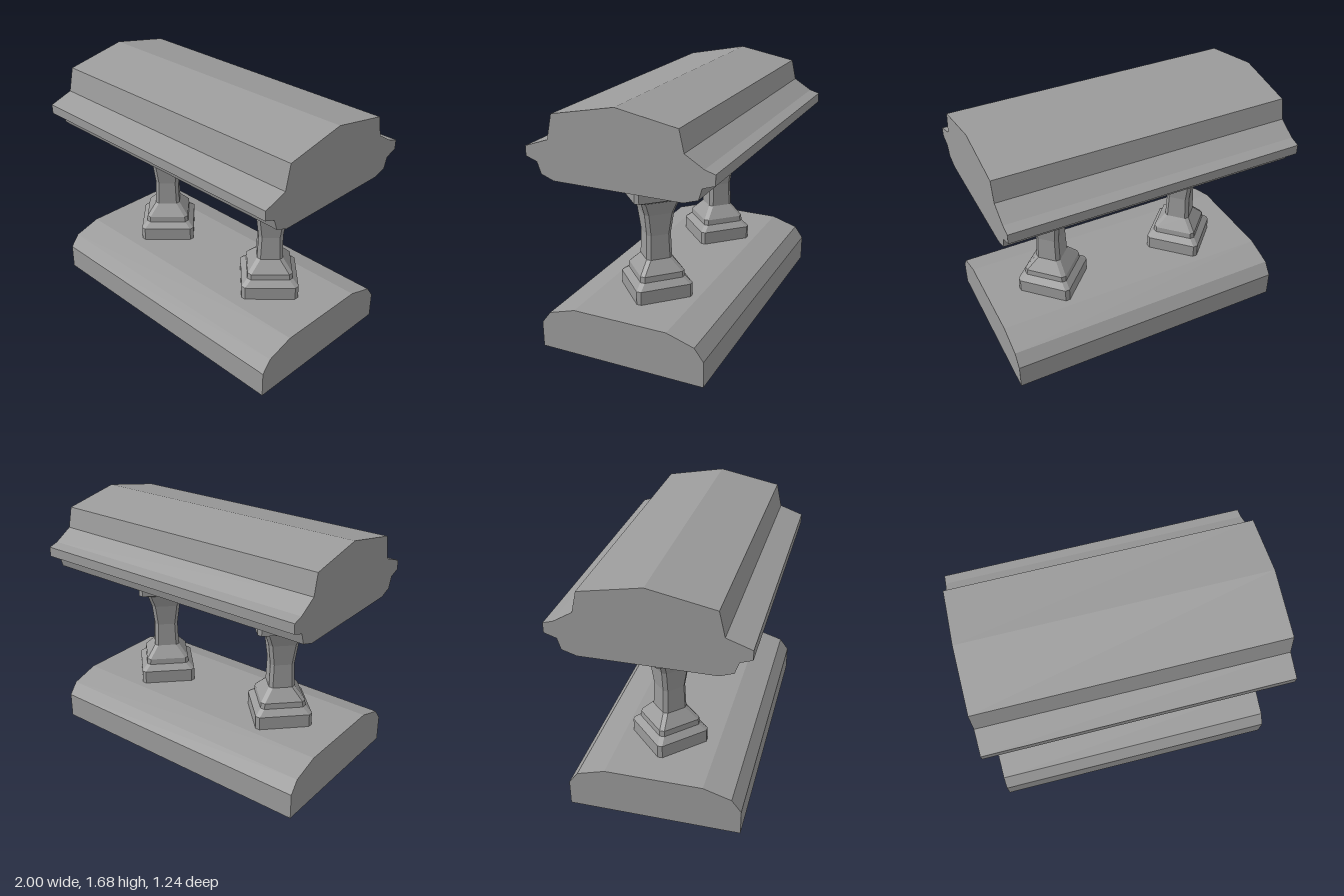
import * as THREE from 'three';

const material = new THREE.MeshStandardMaterial({ color: 0x9b9b9b, flatShading: true });

// Sweeps a [z, y] profile along x from x0 to x1
function beam(name, profile, x0, x1) {
  const shape = new THREE.Shape(profile.map(([z, y]) => new THREE.Vector2(-z, y)));
  const geometry = new THREE.ExtrudeGeometry(shape, { depth: x1 - x0, bevelEnabled: false });
  geometry.rotateY(Math.PI / 2).translate(x0, 0, 0);
  const mesh = new THREE.Mesh(geometry, material);
  mesh.name = name;
  return mesh;
}

// Lofts a diamond section with narrow blunted corners through [radius, y] levels
function balusterGeometry(levels, c) {
  const positions = [];
  const index = [];
  for (const [r, y] of levels) {
    const ring = [[r, -c], [r, c], [c, r], [-c, r], [-r, c], [-r, -c], [-c, -r], [c, -r]];
    for (const [x, z] of ring) positions.push(x, y, z);
  }
  for (let i = 0; i < levels.length - 1; i++) {
    for (let k = 0; k < 8; k++) {
      const a = i * 8 + k;
      const b = i * 8 + (k + 1) % 8;
      index.push(a, a + 8, b, b, a + 8, b + 8);
    }
  }
  // End caps
  const top = (levels.length - 1) * 8;
  for (let k = 1; k < 7; k++) {
    index.push(0, k, k + 1, top, top + k + 1, top + k);
  }
  const geometry = new THREE.BufferGeometry();
  geometry.setAttribute('position', new THREE.Float32BufferAttribute(positions, 3));
  geometry.setIndex(index);
  const flat = geometry.toNonIndexed();
  flat.computeVertexNormals();
  return flat;
}

export function createModel() {
  const model = new THREE.Group();
  model.name = 'balustrade';

  // Plinth with sloped shoulders
  model.add(beam('plinth', [
    [0.588, 0], [0.588, 0.177], [0.525, 0.26], [0.34, 0.318],
    [-0.307, 0.318], [-0.494, 0.26], [-0.555, 0.177], [-0.555, 0],
  ], -0.99, 1));

  // Moulded handrail with a ridged top
  model.add(beam('handrail', [
    [0.43, 1.178], [0.517, 1.21], [0.543, 1.285], [0.619, 1.312], [0.619, 1.376],
    [0.459, 1.433], [0.423, 1.595], [0, 1.68], [-0.4, 1.606], [-0.431, 1.468],
    [-0.552, 1.394], [-0.619, 1.374], [-0.619, 1.308], [-0.539, 1.281],
    [-0.517, 1.208], [-0.423, 1.178],
  ], -1, 1));

  // Pair of balusters set corner-on
  const geometry = balusterGeometry([
    [0.254, 0.317], [0.254, 0.41], [0.2, 0.45], [0.196, 0.49], [0.108, 0.572],
    [0.1, 0.74], [0.125, 0.89], [0.166, 0.982], [0.254, 1.012], [0.254, 1.179],
  ], 0.016);
  for (const [name, x] of [['rightBaluster', -0.515], ['leftBaluster', 0.511]]) {
    const baluster = new THREE.Mesh(geometry, material);
    baluster.name = name;
    baluster.position.x = x;
    model.add(baluster);
  }
  return model;
}
